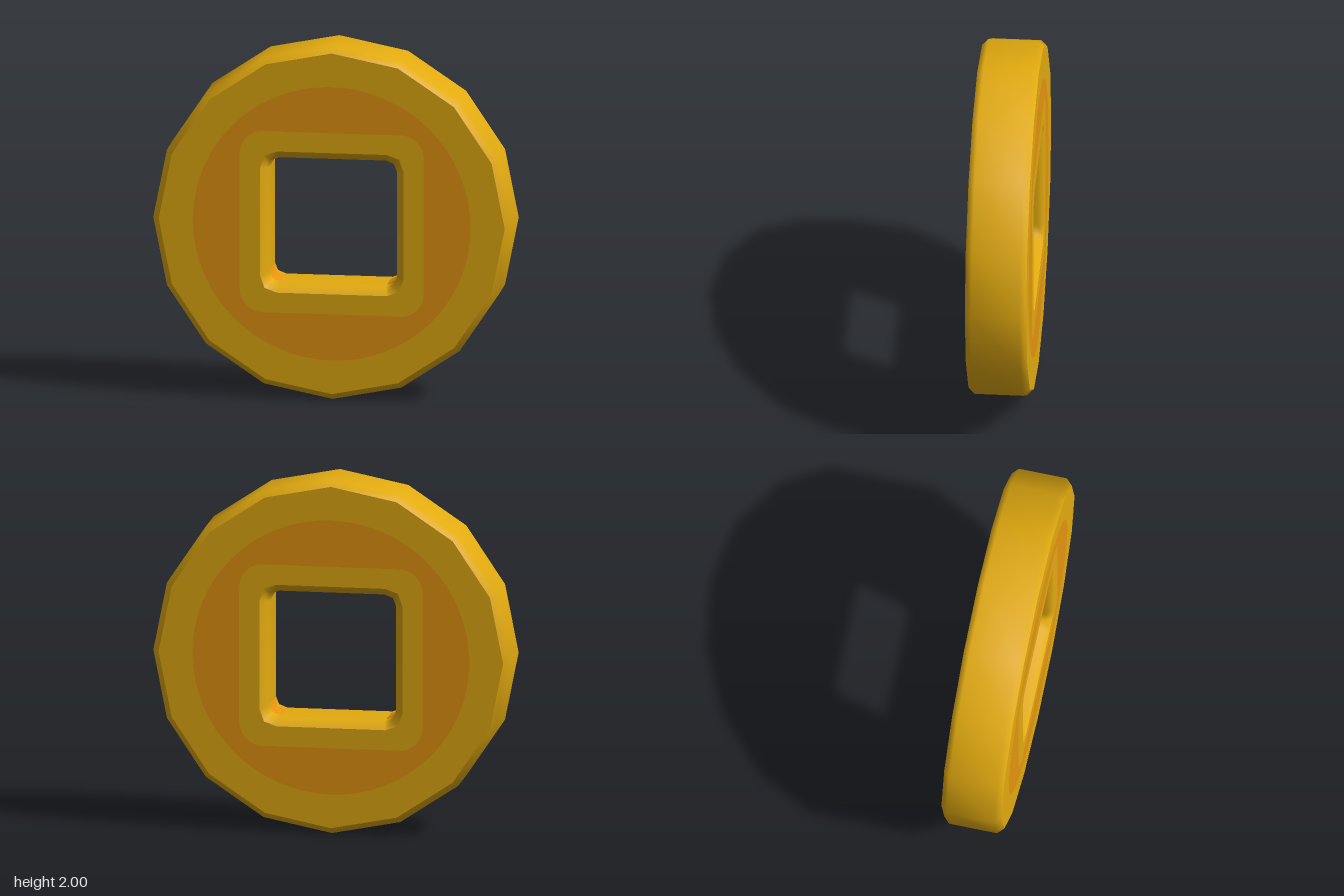
import * as THREE from 'three';

const HALF = 0.17;    // half thickness
const BEVEL_Z = 0.135; // where the bevels start

// Regular 16-sided outline, counter-clockwise
const polygon = (r, n = 16) => Array.from({ length: n }, (_, i) => {
  const a = (i / n) * Math.PI * 2;
  return new THREE.Vector2(r * Math.cos(a), r * Math.sin(a));
});

// Square outline whose corners are cut by two facets, counter-clockwise
function squareOutline(s, c, k) {
  const corner = [[s, s - c], [s - k, s - k], [s - c, s]];
  const pts = [];
  for (let q = 0; q < 4; q++) {
    for (const [x, y] of corner) {
      pts.push(new THREE.Vector2(x, y).rotateAround(new THREE.Vector2(), q * Math.PI / 2));
    }
  }
  return pts;
}

function roundedSquare(s, r) {
  const p = new THREE.Path();
  for (let q = 0; q < 4; q++) {
    const c = new THREE.Vector2(s - r, s - r).rotateAround(new THREE.Vector2(), q * Math.PI / 2);
    p.absarc(c.x, c.y, r, q * Math.PI / 2, (q + 1) * Math.PI / 2, false);
  }
  return p.getPoints(8);
}

// Smooth wall through rings of [outline, z], back to front
function wall(rings, closed = true) {
  const n = rings[0][0].length;
  const pos = [], index = [];
  for (const [pts, z] of rings) for (const p of pts) pos.push(p.x, p.y, z);
  for (let k = 0; k < rings.length - 1; k++) {
    for (let i = 0; i < (closed ? n : n - 1); i++) {
      const a = k * n + i, b = k * n + (i + 1) % n;
      index.push(a, b, b + n, a, b + n, a + n);
    }
  }
  const g = new THREE.BufferGeometry();
  g.setAttribute('position', new THREE.Float32BufferAttribute(pos, 3));
  g.setIndex(index);
  g.computeVertexNormals();
  return g;
}

function flatRing(outer, inner) {
  const s = new THREE.Shape(outer);
  s.holes.push(new THREE.Path(inner));
  return new THREE.ShapeGeometry(s).translate(0, 0, HALF);
}

export function createModel() {
  const gold = new THREE.MeshStandardMaterial({ color: 0xe3ab10 });
  gold.name = 'gold';
  const orange = new THREE.MeshStandardMaterial({ color: 0xe69410 });
  orange.name = 'orange';

  const coin = new THREE.Group();
  coin.name = 'coin';
  const add = (name, geometry, material, parent = coin) => {
    const m = new THREE.Mesh(geometry, material);
    m.name = name;
    parent.add(m);
    return m;
  };

  // Bevelled outer rim
  const rim = polygon(1), rimFace = polygon(0.965);
  add('rim', wall([[rimFace, -HALF], [rim, -BEVEL_Z], [rim, BEVEL_Z], [rimFace, HALF]]), gold);

  // Bevelled square hole, wound inwards
  const holeFace = squareOutline(0.4, 0.095, 0.025);
  const hole = squareOutline(0.36, 0.065, 0.018);
  const hf = [...holeFace].reverse(), h = [...hole].reverse();
  add('holeWall', wall([[hf, -HALF], [h, -BEVEL_Z], [h, BEVEL_Z], [hf, HALF]]), gold);

  // Small orange patches in the corners of the hole
  for (let q = 0; q < 4; q++) {
    const pts = h.slice(q * 3, q * 3 + 3).map((p) => p.clone().multiplyScalar(0.995));
    add('cornerPatch', wall([[pts, -0.08], [pts, 0.08]], false), orange);
  }

  // Front and back faces: gold border, orange band, gold frame round the hole
  const circle = polygon(0.775, 64);
  const frame = roundedSquare(0.513, 0.13);
  const border = flatRing(rimFace, circle);
  const band = flatRing(circle, frame);
  const inner = flatRing(frame, holeFace);
  for (const [name, turn] of [['frontFace', 0], ['backFace', Math.PI]]) {
    const face = new THREE.Group();
    face.name = name;
    face.rotation.y = turn;
    add('border', border, gold, face);
    add('band', band, orange, face);
    add('holeFrame', inner, gold, face);
    coin.add(face);
  }

  coin.position.y = 1;
  const model = new THREE.Group();
  model.name = 'squareHoledCoin';
  model.add(coin);
  return model;
}
